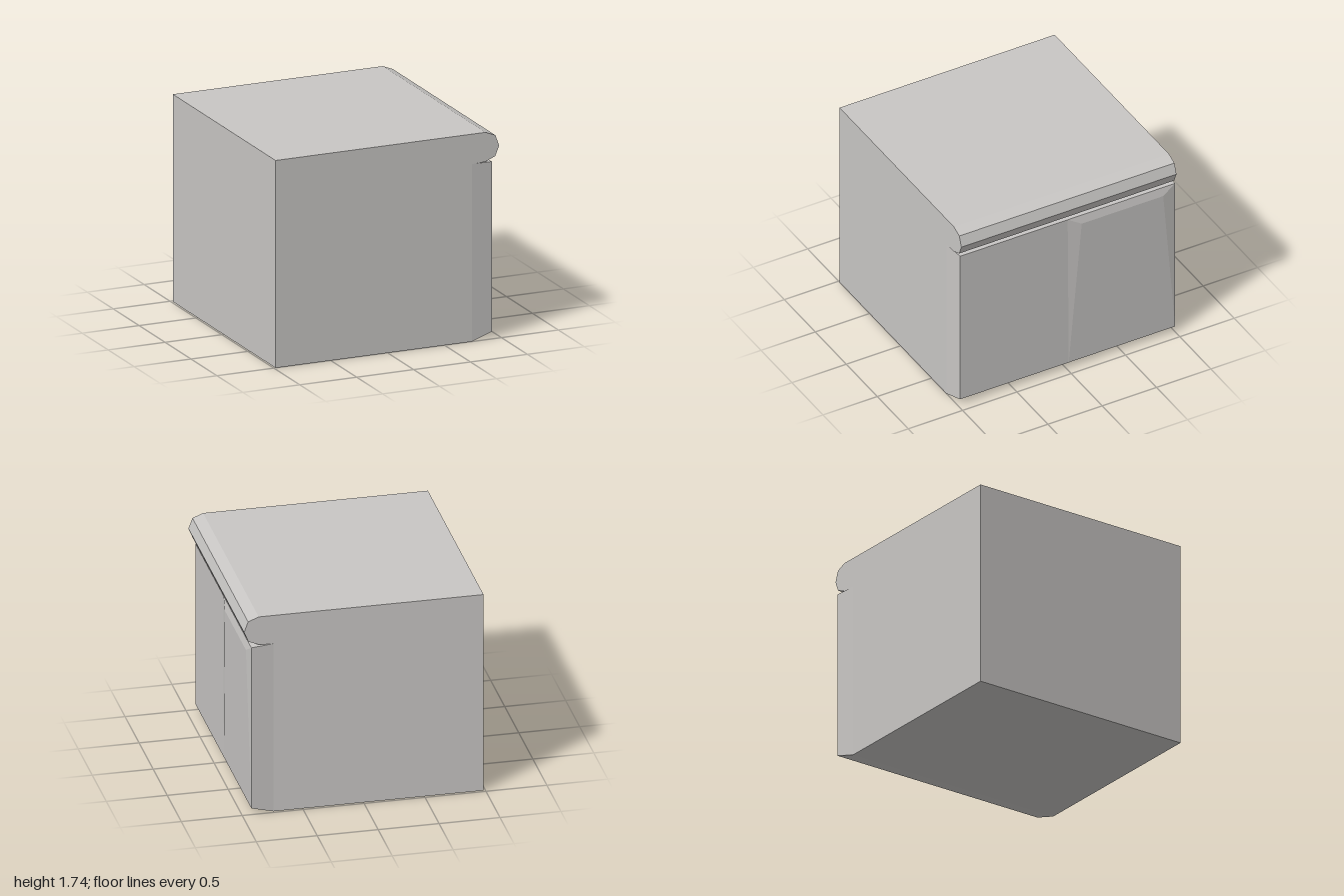
import * as THREE from 'three';

export function createModel() {
  const group = new THREE.Group();
  group.name = 'stairBlock';
  const stone = new THREE.MeshStandardMaterial({ color: 0xc8c6c4 });
  stone.name = 'paleStone';

  // Main block with the rounded tread nosing, as one side profile
  const profile = new THREE.Shape([
    [-0.985, 0], [0.74, 0], [0.74, 1.485], [0.775, 1.485], [0.86, 1.49], [0.945, 1.525],
    [0.98, 1.61], [0.947, 1.7], [0.86, 1.735], [-0.985, 1.735],
  ].map(([x, y]) => new THREE.Vector2(x, y)));
  const blockGeometry = new THREE.ExtrudeGeometry(profile, { depth: 1.98, bevelEnabled: false });
  blockGeometry.translate(0, 0, -0.98);
  const block = new THREE.Mesh(blockGeometry, stone);
  block.name = 'blockAndNosing';
  group.add(block);

  // Worn riser: slightly skewed panel with a shallow bulge towards the back
  const p = {
    innerFrontLow: [0.74, 0, 1], innerBackLow: [0.74, 0, -0.98],
    innerFrontTop: [0.74, 1.485, 1], innerBackTop: [0.74, 1.485, -0.98],
    frontLow: [0.925, 0.055, 0.98], midLow: [0.925, 0.055, -0.02], backLow: [0.925, 0.055, -1],
    frontTop: [0.925, 1.477, 0.98], midTop: [0.925, 1.477, -0.01], backTop: [0.925, 1.477, -1],
    bulgeFront: [0.942, 1.405, -0.13], bulgeBack: [0.942, 1.405, -0.88],
  };
  const faces = [
    ['frontLow', 'midLow', 'midTop', 'frontTop'],
    ['midLow', 'bulgeFront', 'midTop'],
    ['midLow', 'backLow', 'bulgeBack', 'bulgeFront'],
    ['backLow', 'backTop', 'bulgeBack'],
    ['bulgeFront', 'bulgeBack', 'backTop', 'midTop'],
    ['innerFrontLow', 'frontLow', 'frontTop', 'innerFrontTop'],
    ['backLow', 'innerBackLow', 'innerBackTop', 'backTop'],
    ['innerFrontLow', 'innerBackLow', 'backLow', 'frontLow'],
    ['innerFrontTop', 'frontTop', 'backTop', 'innerBackTop'],
  ];
  const positions = [];
  for (const face of faces) {
    for (let i = 1; i < face.length - 1; i++) {
      positions.push(...p[face[0]], ...p[face[i]], ...p[face[i + 1]]);
    }
  }
  const riserGeometry = new THREE.BufferGeometry();
  riserGeometry.setAttribute('position', new THREE.Float32BufferAttribute(positions, 3));
  riserGeometry.computeVertexNormals();
  const riser = new THREE.Mesh(riserGeometry, stone);
  riser.name = 'riser';
  group.add(riser);

  return group;
}
